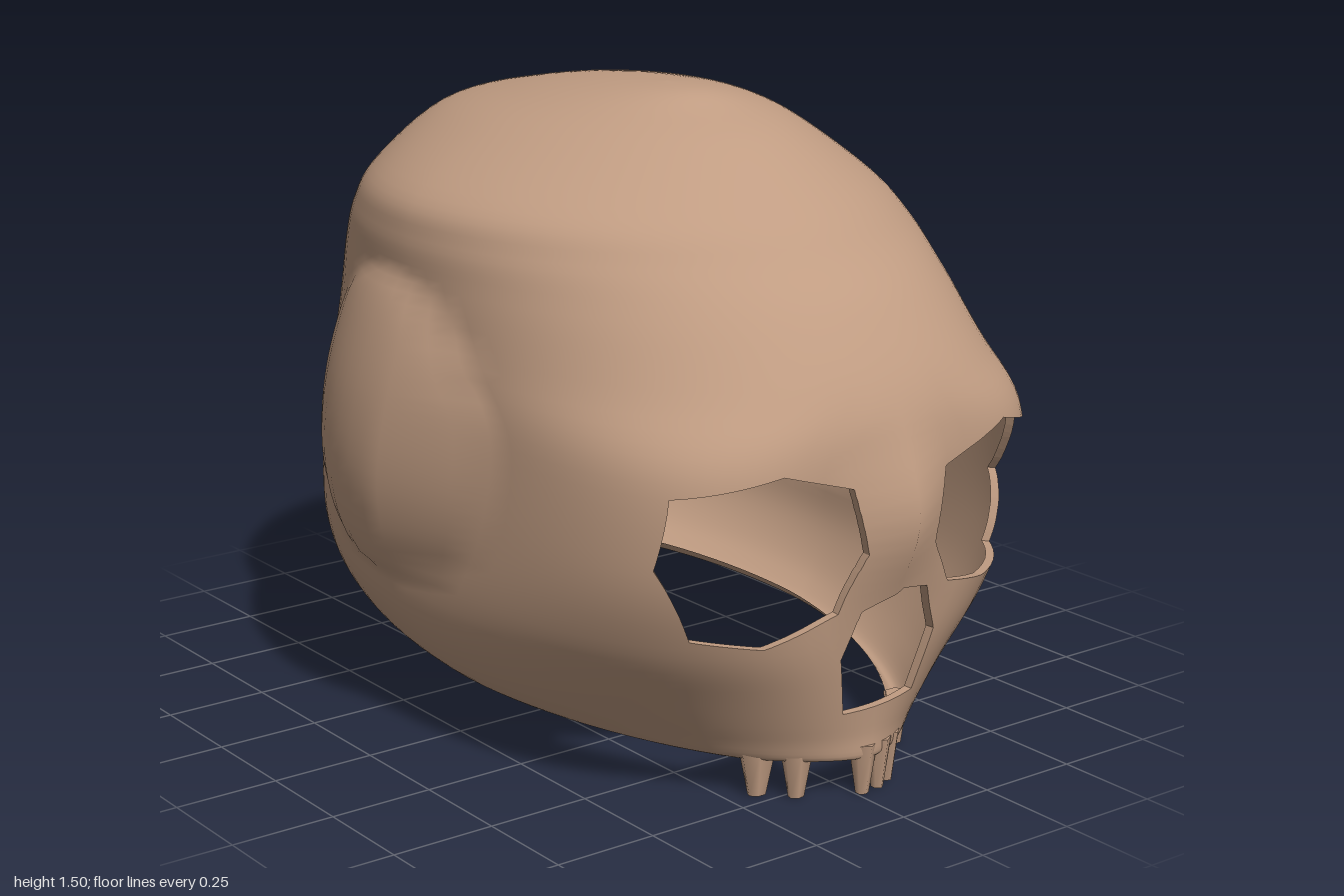
import * as THREE from 'three';

const bone = new THREE.MeshStandardMaterial({ color: 0xc09c82, roughness: 0.9, side: THREE.DoubleSide });

// Horizontal sections from the rolled lower lip to the crown:
// y, front z, back z, right x, left x, squareness of the front half and of the back half
const sections = [
  [0.13, 0.82, -0.80, -0.43, 0.48, 1.65, 2.0],
  [0.10, 0.86, -0.84, -0.47, 0.52, 1.65, 2.0],
  [0.16, 0.865, -0.90, -0.54, 0.59, 1.75, 2.0],
  [0.28, 0.88, -0.95, -0.60, 0.645, 2.1, 2.0],
  [0.42, 0.895, -0.985, -0.62, 0.66, 2.8, 2.0],
  [0.60, 0.91, -0.985, -0.615, 0.66, 3.6, 2.0],
  [0.80, 0.92, -0.95, -0.60, 0.66, 3.6, 2.0],
  [0.95, 0.895, -0.91, -0.59, 0.66, 2.5, 2.0],
  [1.10, 0.80, -0.87, -0.585, 0.655, 2.1, 1.95],
  [1.20, 0.70, -0.815, -0.58, 0.64, 2.0, 1.9],
  [1.29, 0.605, -0.745, -0.54, 0.58, 1.95, 1.85],
  [1.41, 0.425, -0.63, -0.35, 0.43, 1.95, 1.9],
  [1.47, 0.29, -0.40, -0.20, 0.30, 2.0, 2.0],
  [1.505, 0.20, -0.14, -0.07, 0.15, 2.0, 2.0],
  [1.515, 0.09, 0.09, 0.035, 0.035, 2.0, 2.0],
];

// Openings, clockwise seen from the front
const openings = {
  rightEyeRim: [[-0.48, 0.77], [-0.27, 0.81], [-0.1, 0.76], [-0.065, 0.61], [-0.115, 0.475], [-0.28, 0.415], [-0.42, 0.44], [-0.5, 0.61]],
  leftEyeRim: [[0.165, 0.765], [0.375, 0.83], [0.575, 0.775], [0.605, 0.61], [0.54, 0.455], [0.36, 0.455], [0.21, 0.485], [0.14, 0.6]],
  noseRim: [[-0.055, 0.47], [0.045, 0.512], [0.13, 0.495], [0.185, 0.375], [0.15, 0.23], [-0.06, 0.22], [-0.09, 0.36]],
};

const curves = [1, 2, 3, 4, 5, 6].map(
  (c) => new THREE.SplineCurve(sections.map((s) => new THREE.Vector2(s[0], s[c]))));
const clamp = THREE.MathUtils.clamp;

// Point on the skull: t runs upward, angle runs from the front towards the left
function skullPoint(t, angle) {
  let y = curves[0].getPoint(t).x;
  const [front, back, right, left, frontSquare, backSquare] = curves.map((c) => c.getPoint(t).y);
  const s = Math.sin(angle), c = Math.cos(angle);
  const power = 2 / (c > 0 ? frontSquare : backSquare);
  const mid = (front + back) / 2;
  let x = (left + right) / 2 + Math.sign(s) * Math.abs(s) ** power * (left - right) / 2;
  let z = mid + Math.sign(c) * Math.abs(c) ** power * (front - back) / 2;
  // Nose bridge
  if (c > 0) z += 0.085 * Math.exp(-(((x - 0.03) / 0.11) ** 4) - ((y - 0.67) / 0.17) ** 2);
  // Swelling at the temples
  const swell = Math.max(0, 1 - ((z + 0.15) / 0.4) ** 2 - ((y - 0.75) / 0.36) ** 2) ** 0.8;
  if (Math.abs(x) > 0.3) x += swell * (x < 0 ? -0.095 : 0.042);
  // Lower edge rises towards the back
  y += 0.07 * clamp((0.7 - z) / 1.3, 0, 1) * clamp((0.42 - y) / 0.3, 0, 1);
  return [x, y, z];
}

// Smooth closed grid, returned as triangles of [x, y, z, nx, ny, nz]
function skullTriangles(rows, columns) {
  const positions = [], index = [];
  for (let j = 0; j <= rows; j++)
    for (let i = 0; i < columns; i++)
      positions.push(...skullPoint(j / rows, (i / columns) * Math.PI * 2));
  for (let j = 0; j < rows; j++)
    for (let i = 0; i < columns; i++) {
      const a = j * columns + i, b = j * columns + ((i + 1) % columns);
      index.push(a, b, b + columns, a, b + columns, a + columns);
    }
  const grid = new THREE.BufferGeometry();
  grid.setAttribute('position', new THREE.Float32BufferAttribute(positions, 3));
  grid.setIndex(index);
  grid.computeVertexNormals();
  const normals = grid.attributes.normal.array;
  const vertex = (k) => [...positions.slice(k * 3, k * 3 + 3), ...normals.slice(k * 3, k * 3 + 3)];
  const triangles = [];
  for (let k = 0; k < index.length; k += 3) triangles.push(index.slice(k, k + 3).map(vertex));
  return triangles;
}

const sideOf = (p, a, b) => (b[0] - a[0]) * (p[1] - a[1]) - (b[1] - a[1]) * (p[0] - a[0]);

// Split a convex polygon along the line a-b
function split(polygon, a, b) {
  const inside = [], outside = [];
  polygon.forEach((p, k) => {
    const q = polygon[(k + 1) % polygon.length];
    const dp = sideOf(p, a, b), dq = sideOf(q, a, b);
    (dp <= 0 ? inside : outside).push(p);
    if (dp <= 0 !== dq <= 0) {
      const m = p.map((v, n) => v + (q[n] - v) * dp / (dp - dq));
      inside.push(m);
      outside.push(m);
    }
  });
  return [inside, outside];
}

// Cut a convex opening through the front and collect the edge it leaves
function cutOpening(polygons, hole) {
  const kept = [], edges = [];
  const sides = hole.map((a, k) => [a, hole[(k + 1) % hole.length]]);
  for (const polygon of polygons) {
    let rest = polygon[0][2] < 0.3 ? [] : polygon;
    const pieces = [];
    for (const [a, b] of sides) {
      if (rest.length < 3) break;
      const [inside, outside] = split(rest, a, b);
      if (outside.length > 2) pieces.push(outside);
      rest = inside;
    }
    if (rest.length < 3) {
      kept.push(polygon);
      continue;
    }
    kept.push(...pieces);
    rest.forEach((p, k) => {
      const q = rest[(k + 1) % rest.length];
      const onEdge = ([a, b]) => Math.abs(sideOf(p, a, b)) < 1e-7 && Math.abs(sideOf(q, a, b)) < 1e-7;
      if (sides.some(onEdge)) edges.push([p, q]);
    });
  }
  return { kept, edges };
}

function addMesh(group, name, geometry) {
  const mesh = new THREE.Mesh(geometry, bone);
  mesh.name = name;
  group.add(mesh);
  return mesh;
}

export function createModel() {
  const group = new THREE.Group();
  group.name = 'skull';

  // Openings with the thickness of the bone
  let polygons = skullTriangles(84, 96);
  for (const [name, hole] of Object.entries(openings)) {
    const { kept, edges } = cutOpening(polygons, hole);
    polygons = kept;
    const inner = ([x, y, z]) => [0.04 + (x - 0.04) * 0.98, y, z * 0.975];
    const points = edges.flatMap(([p, q]) =>
      [p.slice(0, 3), q.slice(0, 3), inner(q), p.slice(0, 3), inner(q), inner(p)].flat());
    const rim = new THREE.BufferGeometry();
    rim.setAttribute('position', new THREE.Float32BufferAttribute(points, 3));
    rim.computeVertexNormals();
    addMesh(group, name, rim);
  }

  // Cranium and face in one shell, open below
  const corners = polygons.flatMap((p) => p.slice(2).flatMap((v, k) => [p[0], p[k + 1], v]));
  const shell = new THREE.BufferGeometry();
  shell.setAttribute('position', new THREE.Float32BufferAttribute(corners.flatMap((v) => v.slice(0, 3)), 3));
  shell.setAttribute('normal', new THREE.Float32BufferAttribute(corners.flatMap((v) => v.slice(3)), 3));
  addMesh(group, 'cranium', shell);

  // Upper teeth along the jaw: centre x, width
  const teeth = [[-0.178, 0.07], [-0.115, 0.06], [0.018, 0.05], [0.068, 0.045], [0.113, 0.04], [0.278, 0.055]];
  for (const [x, width] of teeth) {
    const reach = Math.abs(x - 0.03) / 0.49;
    const tooth = addMesh(group, 'tooth', new THREE.CylinderGeometry(0.9, 0.42, 0.12, 6));
    tooth.scale.set(width * 0.75, 1, 0.035);
    tooth.position.set(x, 0.07, 0.86 * (1 - reach ** 1.65) ** (1 / 1.65) - 0.018);
    tooth.rotation.y = Math.sign(x - 0.03) * reach * 0.9;
  }
  return group;
}
